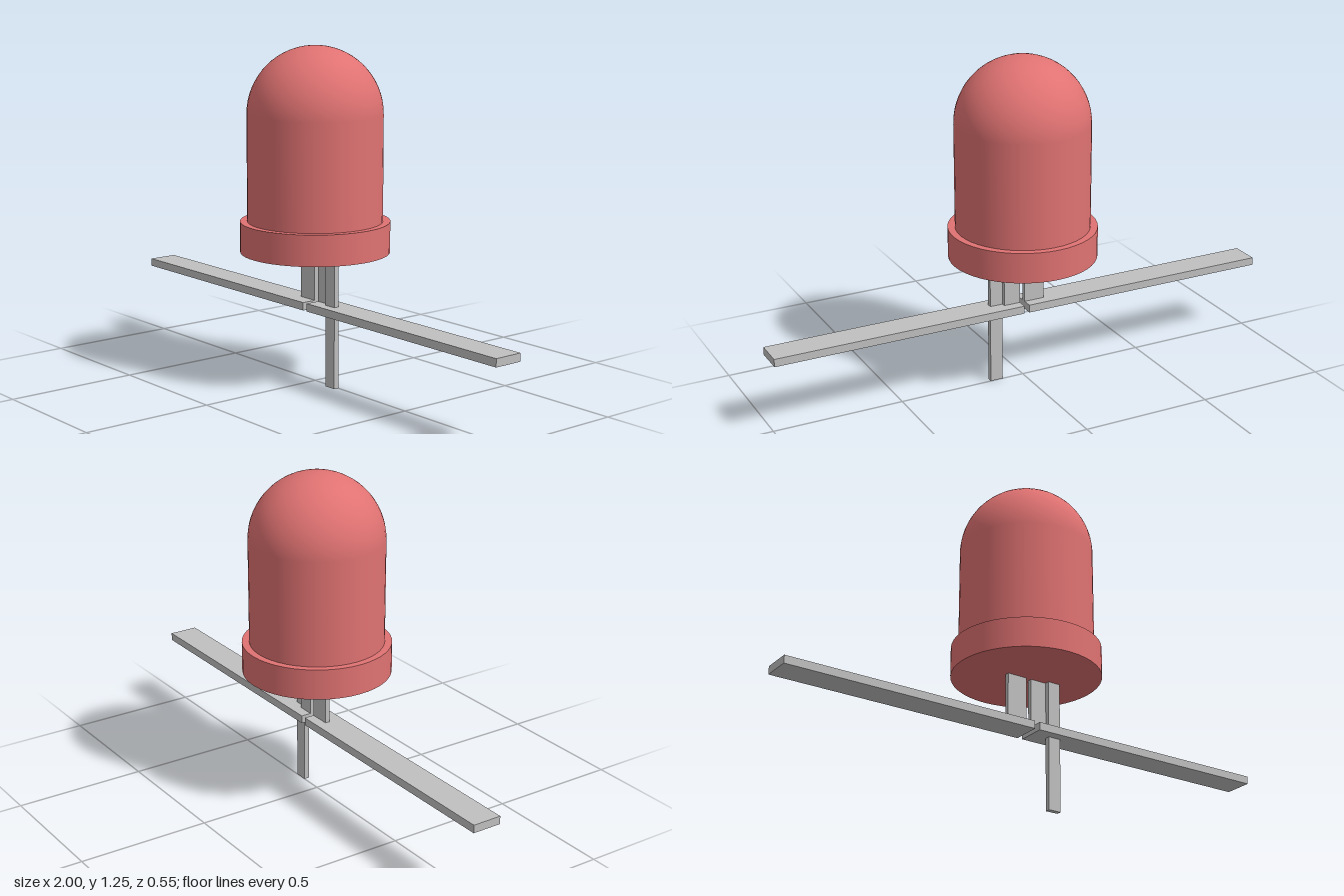
import * as THREE from 'three';

export function createModel() {
  const group = new THREE.Group();

  const red = new THREE.MeshStandardMaterial({ color: 0xe07272 });
  red.name = 'red lens';
  const grey = new THREE.MeshStandardMaterial({ color: 0xc0c0c0 });
  grey.name = 'grey metal';

  const add = (name, geometry, material) => {
    const mesh = new THREE.Mesh(geometry, material);
    mesh.name = name;
    group.add(mesh);
    return mesh;
  };

  // Box given by its lower and upper limits on each axis
  const bar = (name, [x0, x1], [y0, y1], [z0, z1]) =>
    add(name, new THREE.BoxGeometry(x1 - x0, y1 - y0, z1 - z0), grey)
      .position.set((x0 + x1) / 2, (y0 + y1) / 2, (z0 + z1) / 2);

  // Rim at the foot of the lens
  add('baseRim', new THREE.CylinderGeometry(0.277, 0.277, 0.115, 48), red).position.y = 0.5525;

  // Lens: straight wall running smoothly into a half-round dome
  const profile = [new THREE.Vector2(0.25, 0.6)];
  const steps = 16;
  for (let i = 0; i <= steps; i++) {
    const a = (i / steps) * Math.PI / 2;
    profile.push(new THREE.Vector2(0.25 * Math.cos(a), 1.005 + 0.25 * Math.sin(a)));
  }
  add('lens', new THREE.LatheGeometry(profile, 48), red);

  // Flat arms reaching out to both sides
  bar('rightArm', [-1, 0], [0.278, 0.308], [-0.055, 0.057]);
  bar('leftArm', [0.02, 1], [0.278, 0.308], [-0.055, 0.057]);

  // Short posts from the arms up to the rim, and the long pin
  bar('rightPost', [-0.08, 0], [0.3, 0.5], [-0.016, 0.002]);
  bar('leftPost', [0.02, 0.085], [0.3, 0.5], [-0.016, 0.002]);
  bar('longPin', [0.085, 0.135], [0, 0.5], [0, 0.02]);

  return group;
}
